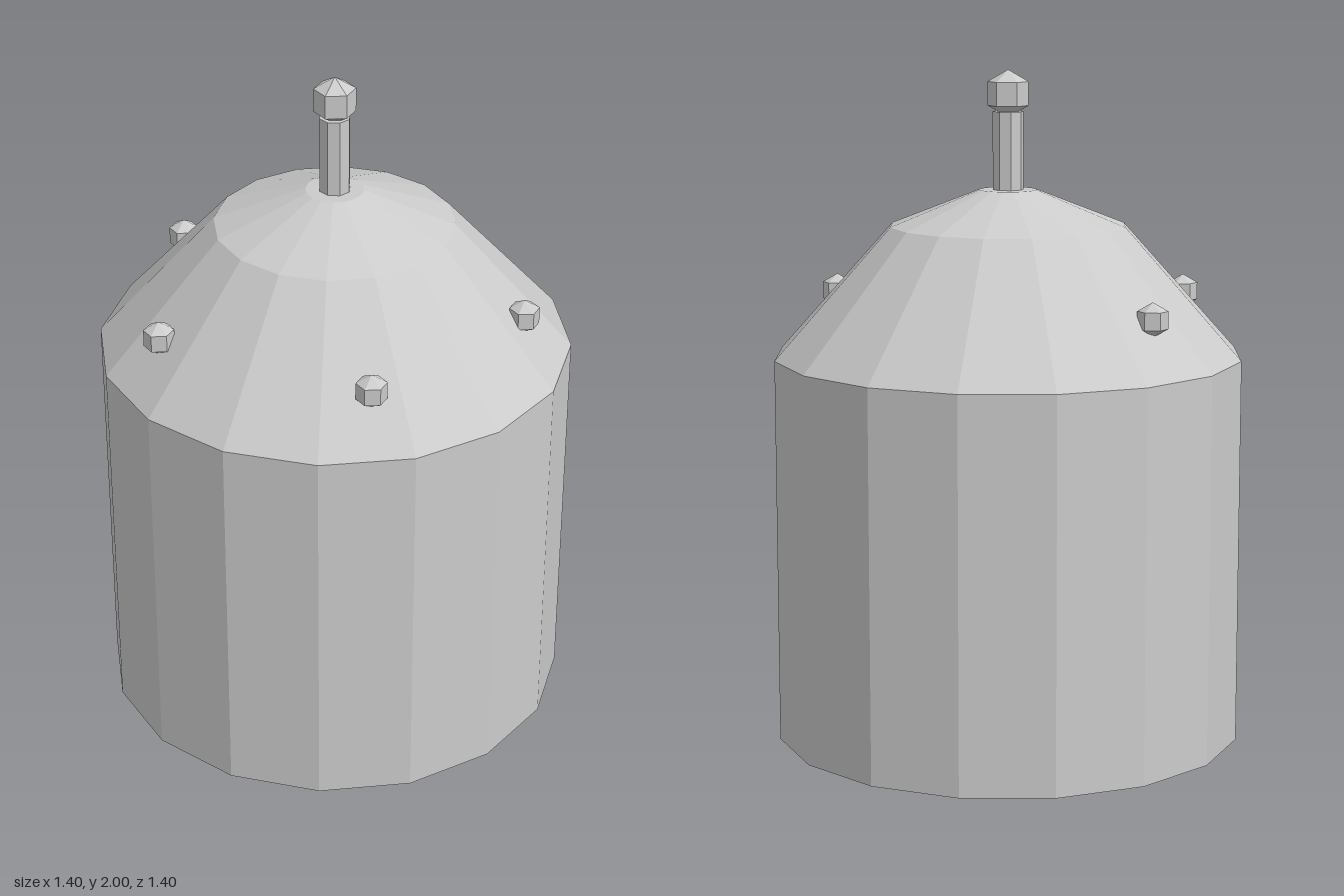
import * as THREE from 'three';

export function createModel() {
  const model = new THREE.Group();
  const material = new THREE.MeshStandardMaterial({ color: 0xcccccc, flatShading: true });

  function add(name, geometry, x, y, z) {
    const mesh = new THREE.Mesh(geometry, material);
    mesh.name = name;
    mesh.position.set(x, y, z);
    model.add(mesh);
    return mesh;
  }

  // Faceted knob: six sides with a corner pointing along z
  const knob = (radius) => new THREE.SphereGeometry(radius, 6, 3).rotateY(Math.PI / 2);

  // Sixteen-sided drum
  const lathe = (points) =>
    new THREE.LatheGeometry(points.map(([r, y]) => new THREE.Vector2(r, y)), 16);
  add('drumBody', lathe([[0, 0], [0.7, 0], [0.7, 1.155]]), 0, 0, 0);

  // Two-step domed roof with a small flat top
  add('domedRoof', lathe([[0.7, 1.155], [0.353, 1.542], [0.085, 1.648], [0, 1.648]]), 0, 0, 0);

  // Stem and finial
  add('stem', new THREE.CylinderGeometry(0.046, 0.046, 0.258, 8), 0, 1.749, 0);
  add('finial', knob(0.07), 0, 1.93, 0);

  // Knobs sunk into the slope of the roof
  const knobSpots = [
    ['frontLeftKnob', 0.343, 0.465],
    ['frontRightKnob', -0.325, 0.473],
    ['sideLeftKnob', 0.559, -0.104],
    ['sideRightKnob', -0.561, -0.1],
  ];
  for (const [name, x, z] of knobSpots) add(name, knob(0.051), x, 1.317, z);

  return model;
}
